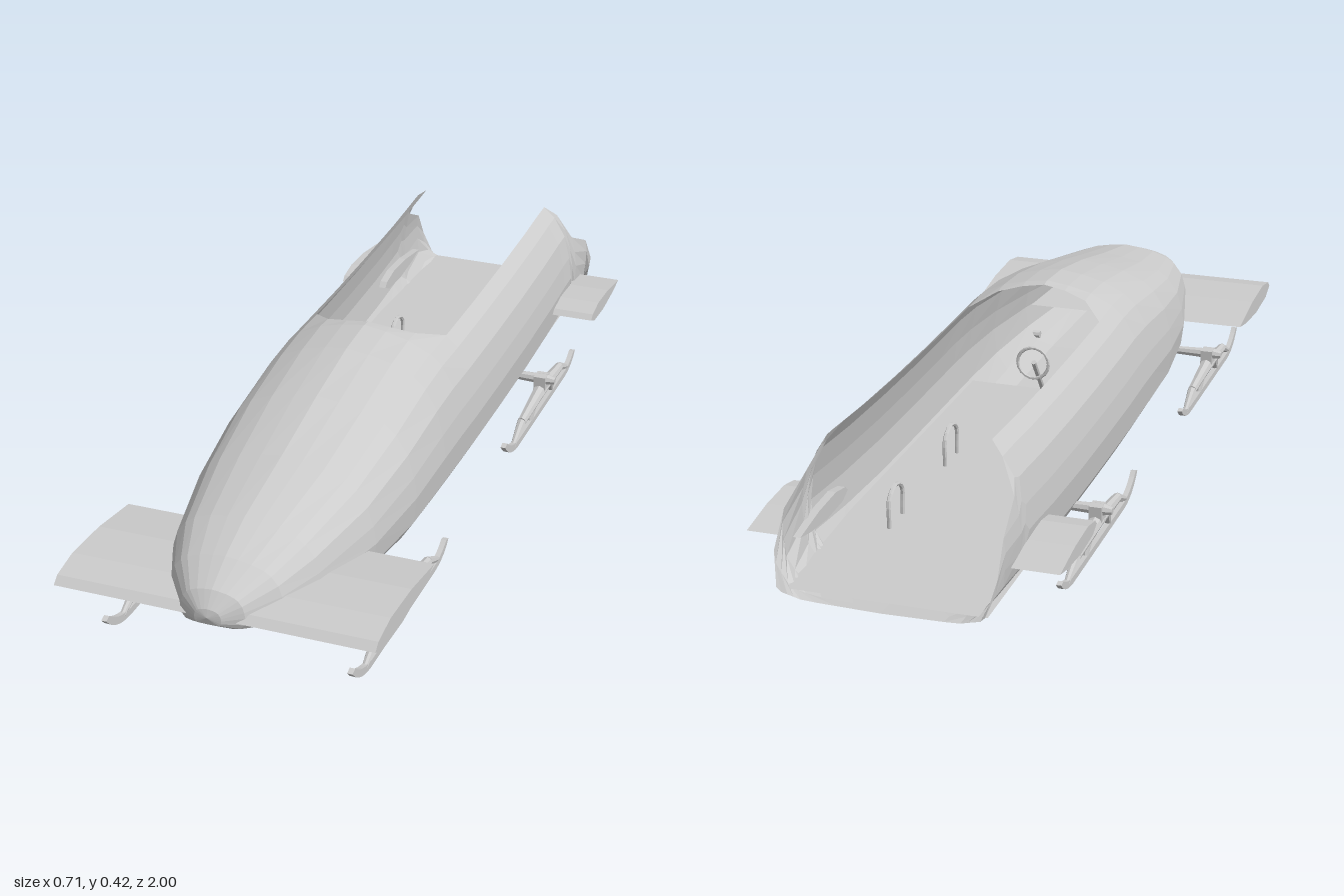
import * as THREE from 'three';

const material = new THREE.MeshStandardMaterial({ color: 0xcccccc, flatShading: true, side: THREE.DoubleSide });

function add(parent, name, geometry, x = 0, y = 0, z = 0) {
  const mesh = new THREE.Mesh(geometry, material);
  mesh.name = name;
  mesh.position.set(x, y, z);
  parent.add(mesh);
  return mesh;
}

// Half cross-section from keel to crown: [fraction of half width, fraction of height]
const PROFILE = [[0, 0], [0.65, 0.01], [0.85, 0.05], [0.97, 0.18], [1, 0.37], [0.97, 0.52],
  [0.91, 0.68], [0.79, 0.81], [0.67, 0.88], [0.45, 0.945], [0.22, 0.98], [0, 1]];

function profileAt(s) {
  const i = Math.min(Math.floor(s), PROFILE.length - 2), f = s - i;
  return [0, 1].map(c => PROFILE[i][c] * (1 - f) + PROFILE[i + 1][c] * f);
}

// Skin through stations [z, half width, bottom, top, profile end, U-shaped edge depth]
function loft(stations, n) {
  const pos = [], index = [], row = 2 * n + 1;
  for (const [z, w, b, t, end = n, edge = 0] of stations) {
    for (let k = -n; k <= n; k++) {
      const [px, py] = profileAt(Math.abs(k) / n * end);
      const inset = Math.min(1, px / 0.67);
      const dz = edge && Math.abs(k) > 8 ? edge * Math.sqrt(1 - inset * inset) : 0;
      pos.push(Math.sign(k) * px * w, b + py * (t - b), z + dz);
    }
  }
  for (let i = 0; i < stations.length - 1; i++) {
    for (let k = 0; k < row - 1; k++) {
      const a = i * row + k, c = a + row;
      index.push(a, c, a + 1, a + 1, c, c + 1);
    }
  }
  const g = new THREE.BufferGeometry();
  g.setAttribute('position', new THREE.Float32BufferAttribute(pos, 3));
  g.setIndex(index);
  g.computeVertexNormals();
  return g;
}

// Outline in (z, y) extruded across x, centred on x = 0
function sideExtrude(shape, width) {
  const g = new THREE.ExtrudeGeometry(shape, { depth: width, bevelEnabled: false, curveSegments: 6 });
  return g.translate(0, 0, -width / 2).rotateY(-Math.PI / 2);
}

function polygon(points) {
  return new THREE.Shape(points.map(p => new THREE.Vector2(...p)));
}

// Tapered bar between two points
function bar(parent, name, from, to, r1, r2, sides = 8) {
  const a = new THREE.Vector3(...from), b = new THREE.Vector3(...to);
  const d = b.clone().sub(a);
  const mesh = add(parent, name, new THREE.CylinderGeometry(r2, r1, d.length(), sides));
  mesh.position.copy(a).add(b).multiplyScalar(0.5);
  mesh.quaternion.setFromUnitVectors(new THREE.Vector3(0, 1, 0), d.normalize());
  return mesh;
}

function foil(zFront, zBack, width, y, half) {
  const l = zFront - zBack;
  const at = (f, h) => [zBack + l * f, y + half * h];
  return sideExtrude(polygon([at(0, 0), at(0.2, -0.55), at(0.55, -1), at(0.88, -0.8), at(1, -0.1),
    at(0.95, 0.5), at(0.75, 1), at(0.4, 0.8)]), width);
}

// Skid: blade with upturned tips, arched rail, struts and axle
function runner(side, z) {
  const g = new THREE.Group();
  g.name = 'runner';
  g.position.set(side * 0.277, 0, z);
  const blade = new THREE.Shape();
  blade.moveTo(0.31, 0.05);
  blade.quadraticCurveTo(0.27, 0.002, 0.2, 0);
  blade.lineTo(-0.2, 0);
  blade.quadraticCurveTo(-0.26, 0.004, -0.285, 0.035);
  blade.lineTo(-0.27, 0.038);
  blade.quadraticCurveTo(-0.24, 0.018, -0.2, 0.016);
  blade.lineTo(0.2, 0.016);
  blade.quadraticCurveTo(0.26, 0.022, 0.295, 0.055);
  add(g, 'blade', sideExtrude(blade, 0.012));
  for (const end of [-1, 1]) {
    bar(g, 'rail', [0, 0.06, 0], [0, 0.045, end * 0.16], 0.017, 0.011);
    bar(g, 'railEnd', [0, 0.045, end * 0.16], [0, 0.012, end * 0.23], 0.011, 0.006);
    bar(g, 'strut', [0, 0.05, end * 0.07], [0, 0.01, end * 0.09], 0.012, 0.006);
  }
  add(g, 'hub', new THREE.BoxGeometry(0.03, 0.045, 0.035), 0, 0.075, 0);
  bar(g, 'axle', [-side * 0.1, 0.087, 0], [side * 0.015, 0.087, 0], 0.01, 0.014);
  bar(g, 'axleEnd', [side * 0.015, 0.087, 0], [side * 0.035, 0.086, 0], 0.014, 0.009);
  return g;
}

function grip(parent, x, z) {
  const curve = new THREE.CatmullRomCurve3([[0, -0.04], [0.065, -0.038], [0.085, 0], [0.065, 0.038], [0, 0.04]]
    .map(([y, dz]) => new THREE.Vector3(0, y, dz)));
  add(parent, 'grip', new THREE.TubeGeometry(curve, 14, 0.005, 6), x, 0.1, z);
}

export function createModel() {
  const model = new THREE.Group();
  model.name = 'bobsled';

  // Closed nose and hood, ending in the rounded cockpit edge
  add(model, 'hood', loft([
    [1, 0, 0.17, 0.17],
    [0.995, 0.03, 0.152, 0.188],
    [0.97, 0.072, 0.135, 0.22],
    [0.9, 0.127, 0.112, 0.258],
    [0.8, 0.17, 0.088, 0.295],
    [0.6, 0.214, 0.06, 0.335],
    [0.4, 0.234, 0.045, 0.38],
    [0.22, 0.238, 0.038, 0.412],
    [0.11, 0.239, 0.035, 0.42],
    [0, 0.24, 0.034, 0.417, 11, 0.085],
  ], 11));

  // Open tub whose side walls step down to the tail
  add(model, 'tub', loft([
    [0, 0.24, 0.034, 0.417],
    [-0.2, 0.24, 0.034, 0.415],
    [-0.4, 0.24, 0.036, 0.417],
    [-0.6, 0.24, 0.045, 0.422],
    [-0.72, 0.24, 0.056, 0.428],
    [-0.77, 0.241, 0.06, 0.43],
    [-0.79, 0.241, 0.062, 0.43, 7],
    [-0.82, 0.241, 0.064, 0.43, 5.6],
    [-0.92, 0.241, 0.072, 0.42, 4.8],
    [-0.97, 0.242, 0.077, 0.42, 3.5],
    [-1, 0.255, 0.08, 0.4, 2.2],
  ], 8));

  add(model, 'cockpitFloor', new THREE.PlaneGeometry(0.45, 1.2).rotateX(-Math.PI / 2), 0, 0.1, -0.39);

  // Stub wings
  add(model, 'frontWing', foil(0.98, 0.63, 0.71, 0.16, 0.026));
  for (const side of [-1, 1]) {
    add(model, 'rearWing', foil(-0.62, -0.88, 0.12, 0.16, 0.02), side * 0.28);
    for (const z of [0.61, -0.4]) model.add(runner(side, z));
  }

  // Cockpit fittings
  add(model, 'steeringRing', new THREE.TorusGeometry(0.038, 0.004, 6, 18), 0, 0.25, 0);
  bar(model, 'steeringColumn', [0, 0.25, 0.005], [0, 0.1, 0.12], 0.006, 0.006);
  grip(model, 0.11, -0.27);
  grip(model, 0.11, -0.62);
  grip(model, -0.11, -0.41);

  return model;
}
